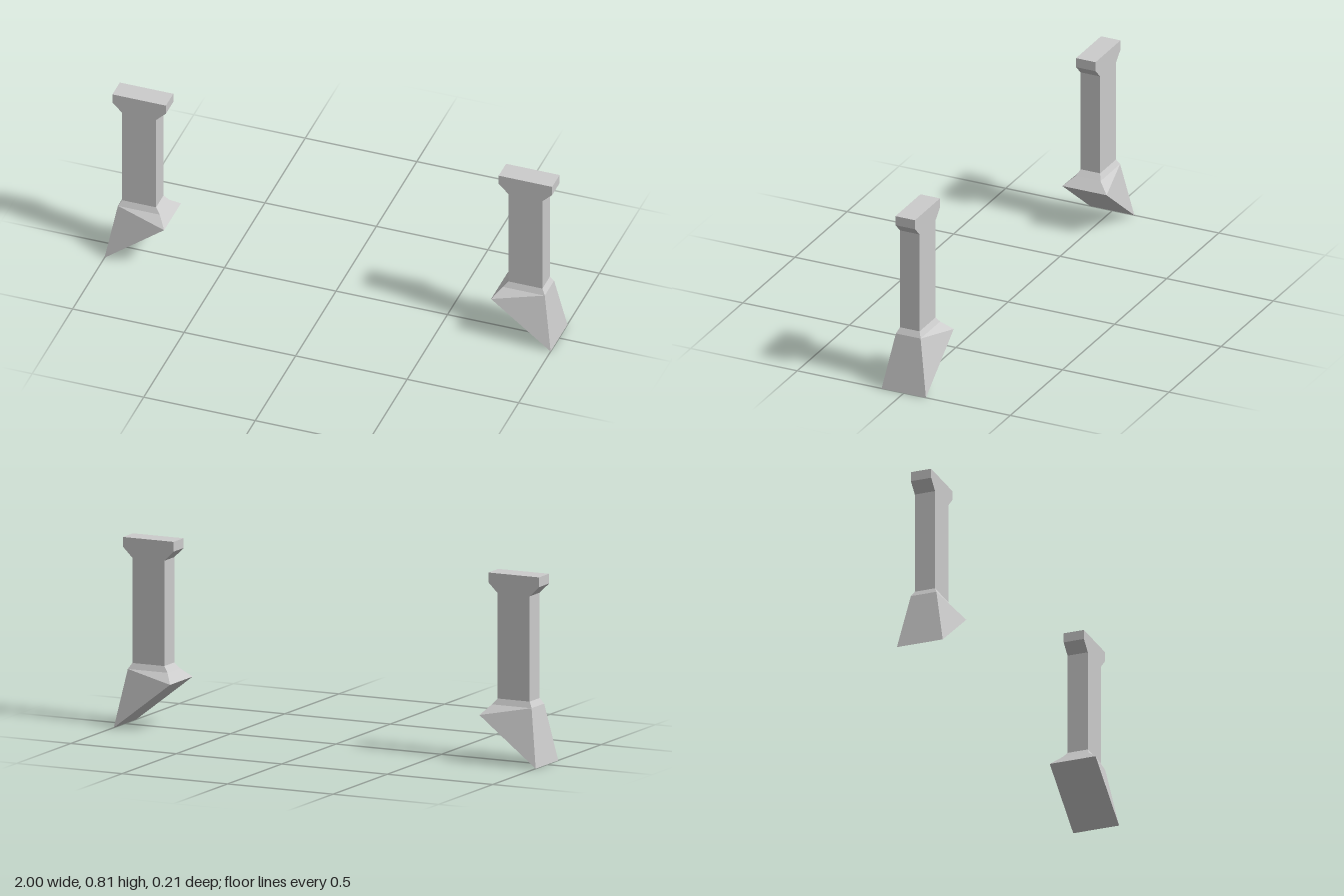
import * as THREE from 'three';

const material = new THREE.MeshStandardMaterial({ color: 0xcccccc, flatShading: true });
const CENTRE = 0.866; // x of each post's axis

// T-shaped post: straight shaft with a chamfered cap, extruded along z
function postGeometry() {
  const half = [[0.076, 0.273], [0.076, 0.725], [0.12, 0.768], [0.12, 0.81]];
  const outline = [...half, ...half.map(([x, y]) => [-x, y]).reverse()];
  const shape = new THREE.Shape(outline.map(([x, y]) => new THREE.Vector2(x, y)));
  const depth = 0.092;
  return new THREE.ExtrudeGeometry(shape, { depth, bevelEnabled: false }).translate(0, 0, -depth / 2);
}

// Flared foot with a slanted sole, skinned through four-cornered sections
function footGeometry(side) {
  // [outer x, outer y, inner x, inner y, half depth], from sole to neck
  const sections = [
    [1.0, 0, 0.733, 0.207, 0.104],
    [0.957, 0.248, 0.769, 0.248, 0.058],
    [0.942, 0.273, 0.79, 0.273, 0.046],
  ];
  const rings = sections.map(([xo, yo, xi, yi, d]) =>
    [[xo, yo, d], [xi, yi, d], [xi, yi, -d], [xo, yo, -d]].map(([x, y, z]) => [side * x, y, z]));
  const positions = [];
  const tri = (a, b, c) => positions.push(...a, ...(side > 0 ? b : c), ...(side > 0 ? c : b));

  for (let i = 0; i < rings.length - 1; i++) {
    const a = rings[i], b = rings[i + 1];
    for (let j = 0; j < 4; j++) {
      const k = (j + 1) % 4;
      // the fold runs from the upper outer corner to the lower inner one
      if (j === 2) { tri(a[k], a[j], b[k]); tri(a[j], b[j], b[k]); }
      else { tri(a[k], a[j], b[j]); tri(a[k], b[j], b[k]); }
    }
  }
  const sole = rings[0];
  tri(sole[0], sole[1], sole[2]);
  tri(sole[0], sole[2], sole[3]);

  const geometry = new THREE.BufferGeometry();
  geometry.setAttribute('position', new THREE.Float32BufferAttribute(positions, 3));
  geometry.computeVertexNormals();
  return geometry;
}

export function createModel() {
  const model = new THREE.Group();
  model.name = 'legPair';
  for (const side of [1, -1]) {
    const leg = new THREE.Group();
    leg.name = side > 0 ? 'leftLeg' : 'rightLeg';

    const post = new THREE.Mesh(postGeometry(), material);
    post.name = 'post';
    post.position.x = side * CENTRE;

    const foot = new THREE.Mesh(footGeometry(side), material);
    foot.name = 'foot';

    leg.add(post, foot);
    model.add(leg);
  }
  return model;
}
